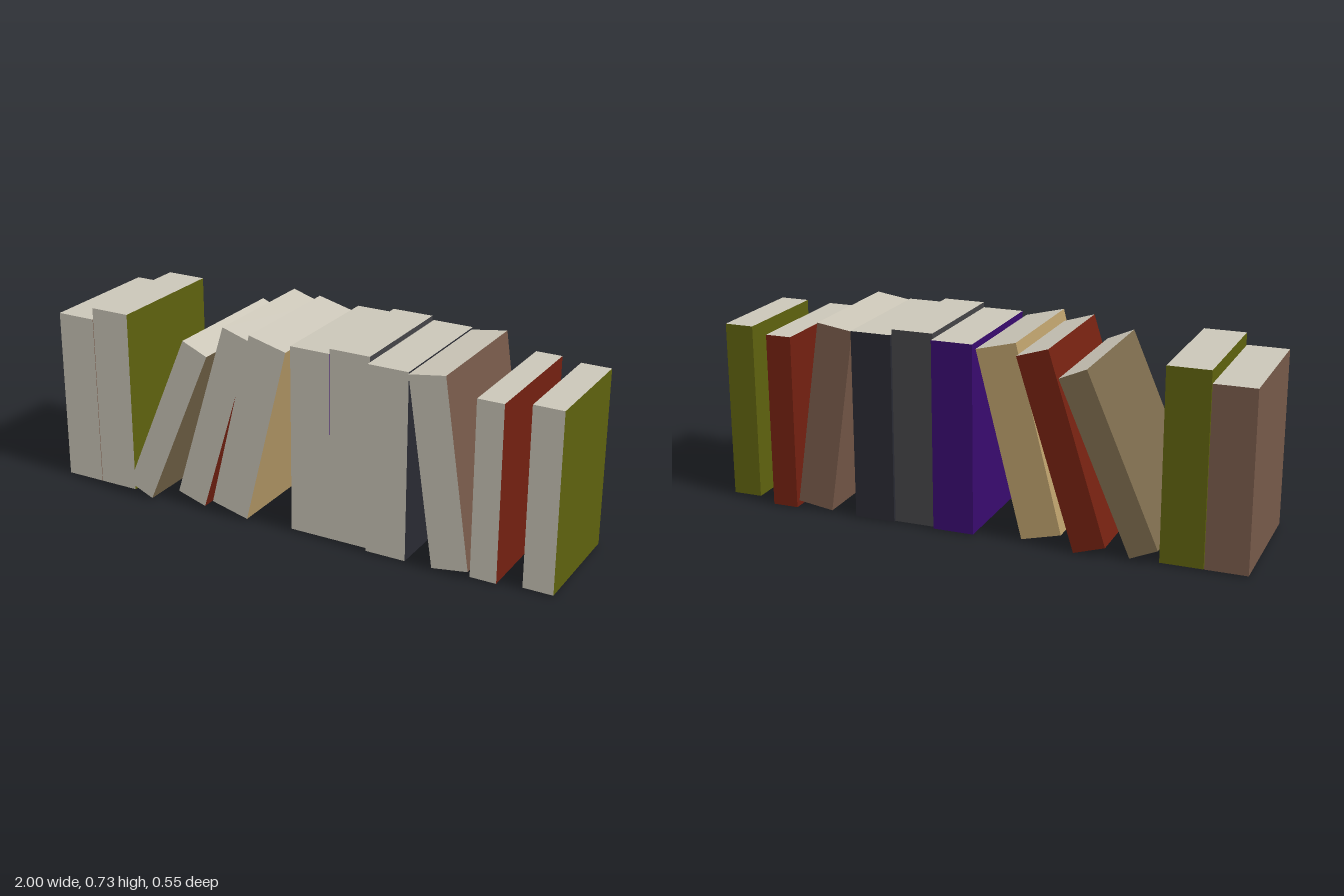
import * as THREE from 'three';

const paint = (name, color) => {
  const m = new THREE.MeshStandardMaterial({ color });
  m.name = name;
  return m;
};

export function createModel() {
  const group = new THREE.Group();
  group.name = 'bookRow';

  const pages = paint('pages', 0xcbc6b8);
  const brown = paint('brown', 0x765949);
  const olive = paint('olive', 0x5e610e);
  const umber = paint('umber', 0x7b6a4c);
  const red = paint('red', 0x732010);
  const tan = paint('tan', 0xb99d6a);
  const purple = paint('purple', 0x380a6e);
  const charcoal = paint('charcoal', 0x444447);
  const navy = paint('navy', 0x292a32);

  // One book: spine at the back, covers on both sides, pages on the rest.
  // x, y is the corner it stands on; lean in degrees, positive tips to +x.
  function book(name, cover, x, y, width, height, zBack, zFront, lean = 0) {
    const geometry = new THREE.BoxGeometry(width, height, zFront - zBack);
    // A book tipping to +x turns about its lower +x corner, otherwise its -x corner
    geometry.translate(lean > 0 ? -width / 2 : width / 2, height / 2, (zFront + zBack) / 2);
    const mesh = new THREE.Mesh(geometry, [cover, cover, pages, pages, pages, cover]);
    mesh.name = name;
    mesh.position.set(x, y, 0);
    mesh.rotation.z = -THREE.MathUtils.degToRad(lean);
    group.add(mesh);
  }

  // Upright pair at the -x end
  book('brownBook', brown, -1, 0.006, 0.153, 0.657, -0.259, 0.241);
  book('oliveBook', olive, -0.845, 0.006, 0.155, 0.702, -0.259, 0.241);

  // Three books tipping to +x
  book('umberLeaningBook', umber, -0.587, 0.009, 0.109, 0.67, -0.27, 0.277, 23.3);
  book('redLeaningBook', red, -0.386, 0.001, 0.121, 0.721, -0.277, 0.222, 17.3);
  book('tanLeaningBook', tan, -0.183, 0.01, 0.152, 0.701, -0.248, 0.251, 14.1);

  // Upright books in the middle
  book('purpleBook', purple, -0.005, 0.006, 0.154, 0.703, -0.263, 0.231);
  book('charcoalBook', charcoal, 0.15, 0.006, 0.156, 0.722, -0.267 + 0.02, 0.231);
  book('navyBook', navy, 0.307, 0.006, 0.154, 0.703, -0.257, 0.25);

  // Book tipping back to -x
  book('brownLeaningBook', brown, 0.565, 0.009, 0.138, 0.702, -0.246, 0.254, -8.5);

  // Upright books at the +x end
  book('redBook', red, 0.704, 0.006, 0.098, 0.656, -0.259, 0.242);
  book('oliveEndBook', olive, 0.889, 0.006, 0.111, 0.665, -0.207, 0.222);

  return group;
}
